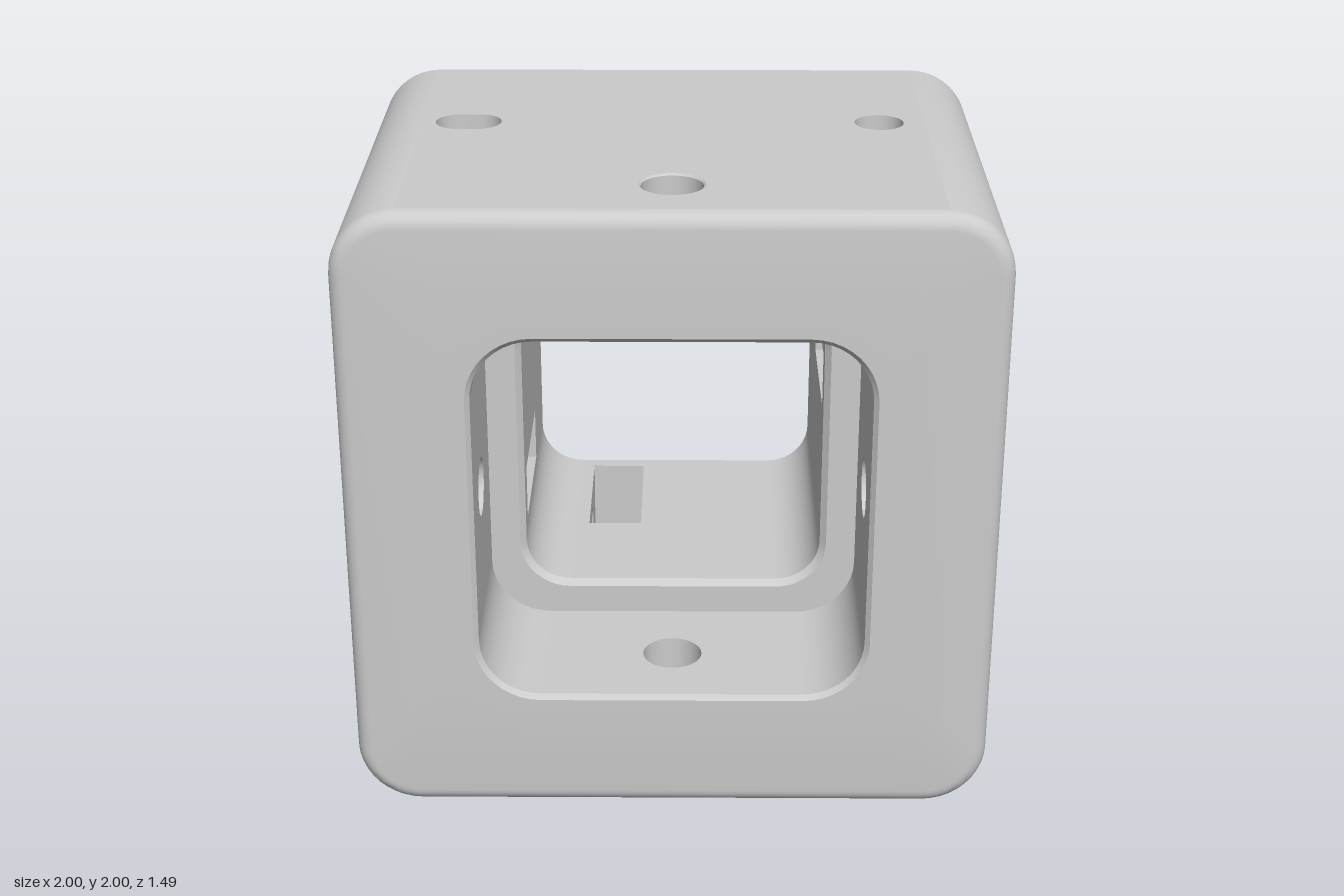
import * as THREE from 'three';
import { toCreasedNormals } from 'three/addons/utils/BufferGeometryUtils.js';

const N = 10; // segments per rounded corner
const mat = new THREE.MeshStandardMaterial({ color: 0xcccccc });

// plane mappings (a, b across the plane, w along its normal)
const alongX = (a, b, w) => [w, a, b];
const alongY = (a, b, w) => [b, w, a];
const alongZ = (a, b, w) => [a, b, w];

// counter-clockwise rounded rectangle; a circle or slot when r equals a half size
function outline(hw, hh, r, ca = 0, cb = 0) {
  const pts = [], n = r > 0 ? N : 0;
  [[1, 1], [-1, 1], [-1, -1], [1, -1]].forEach(([sx, sy], k) => {
    for (let i = 0; i <= n; i++) {
      const t = (k + (n ? i / n : 0)) * Math.PI / 2;
      pts.push(new THREE.Vector2(
        ca + sx * (hw - r) + r * Math.cos(t),
        cb + sy * (hh - r) + r * Math.sin(t)));
    }
  });
  return pts;
}
const circle = (r, a, b) => outline(r, r, r, a, b);

// skin through sections {pts, w}; skip(edge, section) leaves a quad open
function loft(name, sections, map, skip = () => false) {
  const pos = [];
  for (let s = 0; s < sections.length - 1; s++) {
    const A = sections[s], B = sections[s + 1], n = A.pts.length;
    for (let i = 0; i < n; i++) {
      const j = (i + 1) % n;
      if (skip(i, s) || A.pts[i].distanceTo(A.pts[j]) + B.pts[i].distanceTo(B.pts[j]) < 1e-6) continue;
      const v = (S, q) => map(S.pts[q].x, S.pts[q].y, S.w);
      pos.push(...v(A, i), ...v(A, j), ...v(B, j), ...v(A, i), ...v(B, j), ...v(B, i));
    }
  }
  const geo = new THREE.BufferGeometry();
  geo.setAttribute('position', new THREE.Float32BufferAttribute(pos, 3));
  const mesh = new THREE.Mesh(toCreasedNormals(geo, 0.6), mat);
  mesh.name = name;
  return mesh;
}

// flat wall with cut-outs; flip turns it to face the negative direction
function panel(name, edge, holes, w, map, flip) {
  const shape = new THREE.Shape(edge);
  shape.holes = holes.map(h => new THREE.Path(h));
  const geo = new THREE.ShapeGeometry(shape), p = geo.attributes.position;
  for (let i = 0; i < p.count; i++) p.setXYZ(i, ...map(p.getX(i), p.getY(i), w));
  if (flip) geo.index.array.reverse();
  geo.computeVertexNormals();
  const mesh = new THREE.Mesh(geo, mat);
  mesh.name = name;
  return mesh;
}

const tube = (name, pts, from, to) => loft(name, [{ pts, w: from }, { pts, w: to }], alongX);

// rectangular panel outline from u = -h..h, z = z0..z1
const strip = (h, z0, z1) => outline(h, (z1 - z0) / 2, 0, 0, (z0 + z1) / 2);

// one of the four walls, built facing +x and then turned about z
function buildSide(k) {
  const g = new THREE.Group();
  g.name = ['leftWall', 'topWall', 'rightWall', 'bottomWall'][k];
  const zHole = k % 2 ? -0.13 : -0.45, zPocket = k % 2 ? -0.45 : -0.13;
  const sign = k === 0 || k === 3 ? 1 : -1;
  const uPocket = k % 2 ? -0.205 : 0.205;
  const near = 0.295, far = -0.115;

  const round = circle(0.078, sign * 0.655, zHole);
  const slot = outline(0.105, 0.078, 0.078, -sign * 0.655, zHole);
  const portRim = circle(0.1, 0, 0.475), port = circle(0.094, 0, 0.475);
  const screws = k < 2 ? [] : [0, 2 * uPocket].map(u => circle(0.058, u, zPocket));
  const mouth = outline(0.09, 0.23, 0, uPocket, zPocket);

  // outer and inner wall faces
  g.add(panel('outerFace', strip(0.8, -0.72, 0.695), [round, slot, portRim, ...screws], 1, alongX));
  g.add(panel('frontBoreFace', strip(0.41, 0.2, 0.73), [port], 0.6, alongX, true));
  g.add(panel('rearBoreFace', strip(0.34, -0.73, 0.18), [mouth], 0.485, alongX, true));

  // drilled holes
  g.add(loft('portHole', [{ pts: portRim, w: 1 }, { pts: port, w: 0.994 }, { pts: port, w: 0.6 }], alongX));
  g.add(tube('roundHole', round, 1, k < 2 ? near : far));
  g.add(tube('slotHole', slot, 1, k < 2 ? far : near));
  screws.forEach(s => {
    g.add(tube('screwHole', s, 1, 0.765));
    g.add(panel('screwHoleEnd', s, [], 0.765, alongX));
  });

  // pocket sunk into the rear bore, crossed by a neighbouring wall's hole
  const depth = 0.77;
  g.add(loft('pocketEnds', [{ pts: mouth, w: depth }, { pts: mouth, w: 0.485 }], alongX, i => i % 2 === 1));
  g.add(panel('pocketBack', mouth, [], depth, alongX, true));
  const cross = outline(0.078, k < 2 ? 0.078 : 0.105, 0.078, zPocket, 0.655);
  const cheek = outline(0.23, (depth - 0.485) / 2, 0, zPocket, (depth + 0.485) / 2);
  [-1, 1].forEach(s =>
    g.add(panel('pocketSide', cheek, [cross], uPocket + s * 0.09, alongY, s > 0)));

  g.rotation.z = k * Math.PI / 2;
  return g;
}

export function createModel() {
  const model = new THREE.Group();
  model.name = 'housingBlock';
  const block = new THREE.Group();
  block.name = 'block';
  block.position.y = 1;
  model.add(block);

  // closed profile: half size, corner radius, z, and whether flat panels follow
  const profile = [[0.975, 0.175, -0.745], [1, 0.2, -0.72, true]];
  for (let i = 0; i <= 6; i++) {
    const t = i / 6 * Math.PI / 2, d = 0.05 * (1 - Math.cos(t));
    profile.push([1 - d, 0.2 - d, 0.695 + 0.05 * Math.sin(t)]);
  }
  profile.push(
    [0.615, 0.205, 0.745], [0.6, 0.19, 0.73, true],
    [0.6, 0.19, 0.2], [0.505, 0.165, 0.2],
    [0.485, 0.145, 0.18, true], [0.485, 0.145, -0.73],
    [0.5, 0.16, -0.745], [0.975, 0.175, -0.745]);
  block.add(loft('body',
    profile.map(([h, r, z]) => ({ pts: outline(h, h, r), w: z })),
    alongZ, (i, s) => profile[s][3] && i % (N + 1) === N));

  for (let k = 0; k < 4; k++) block.add(buildSide(k));
  return model;
}
